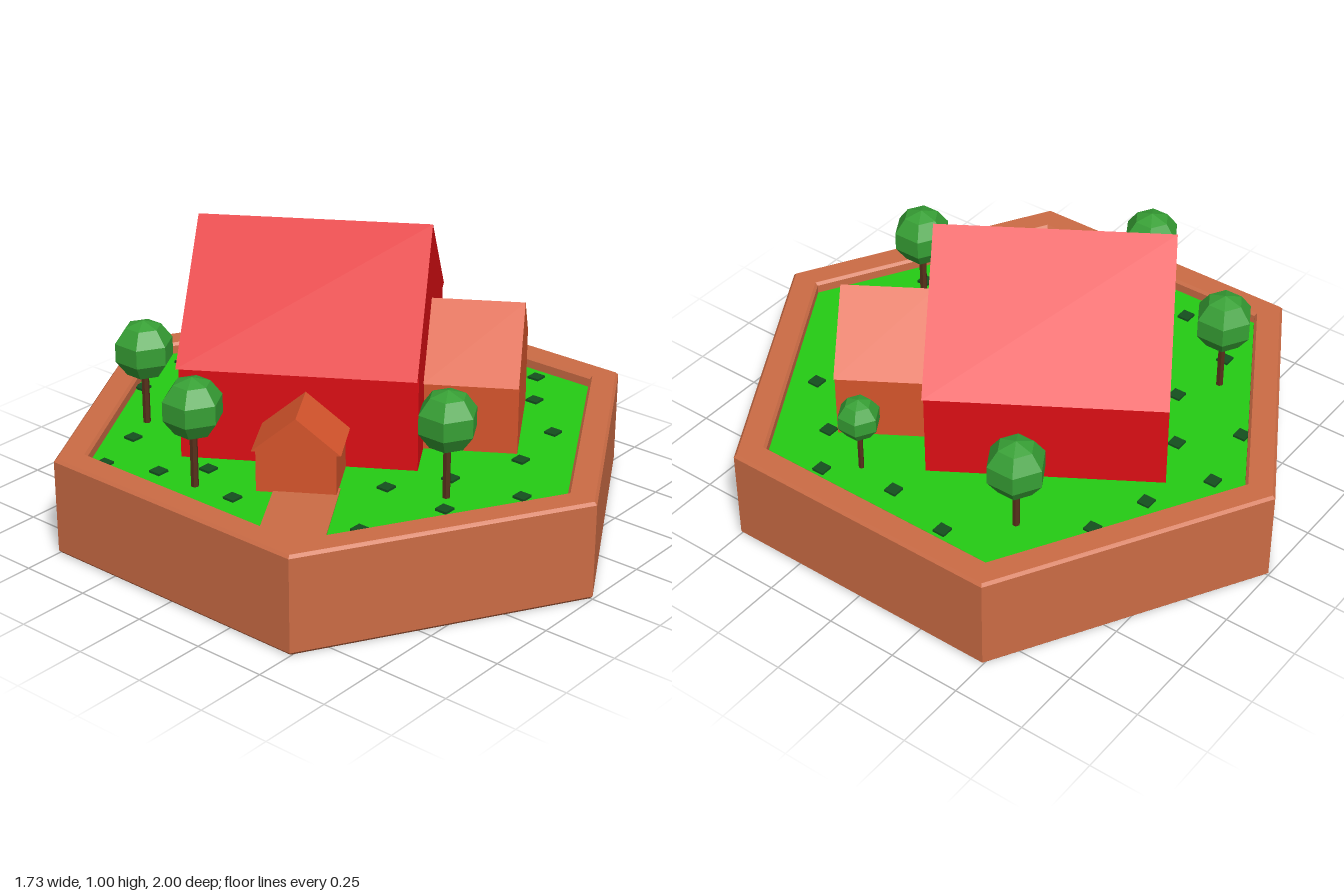
import * as THREE from 'three';

const GROUND = 0.3;

const paint = (color) => new THREE.MeshStandardMaterial({ color, flatShading: true });

export function createModel() {
  const clay = paint(0xcc6c45), grassGreen = paint(0x25cc14), red = paint(0xdd0e14);
  const orange = paint(0xd6552c), bark = paint(0x56301a), leaf = paint(0x37a035), tuftGreen = paint(0x14501e);

  const model = new THREE.Group();
  model.name = 'gardenHouse';

  function add(parent, name, geometry, material, x = 0, y = 0, z = 0) {
    const mesh = new THREE.Mesh(geometry, material);
    mesh.name = name;
    mesh.position.set(x, y, z);
    parent.add(mesh);
    return mesh;
  }

  // Hexagonal planter with a raised, slightly bevelled rim
  const rim = [[0, 0], [0.99, 0], [1, 0.01], [1, 0.33], [0.99, 0.34], [0.9, 0.34], [0.89, 0.33], [0.89, 0.28]];
  add(model, 'planter', new THREE.LatheGeometry(rim.map(([r, y]) => new THREE.Vector2(r, y)), 6), clay);
  add(model, 'lawn', new THREE.CylinderGeometry(0.89, 0.89, 0.04, 6), grassGreen, 0, GROUND - 0.02, 0);

  // House stands at an angle; its ridge runs along the group's z
  const house = new THREE.Group();
  house.name = 'house';
  house.position.set(-0.005, GROUND, -0.135);
  house.rotation.y = THREE.MathUtils.degToRad(32.2);
  model.add(house);

  // Box walls with a gabled prism roof, ridge along z, centred on its origin
  function wing(name, { wall, roof, length, eave, ridge, material }) {
    const group = new THREE.Group();
    group.name = name;
    add(group, name + 'Walls', new THREE.BoxGeometry(wall * 2, eave, length), material, 0, eave / 2, 0);
    const gable = new THREE.Shape([
      new THREE.Vector2(-roof, 0), new THREE.Vector2(roof, 0), new THREE.Vector2(0, ridge - eave),
    ]);
    const prism = new THREE.ExtrudeGeometry(gable, { depth: length, bevelEnabled: false });
    add(group, name + 'Roof', prism, material, 0, eave, -length / 2);
    house.add(group);
    return group;
  }

  wing('mainHouse', { wall: 0.38, roof: 0.427, length: 0.77, eave: 0.33, ridge: 0.7, material: red });

  const porch = wing('porch', { wall: 0.213, roof: 0.236, length: 0.308, eave: 0.24, ridge: 0.445, material: orange });
  porch.position.z = 0.538;

  const annex = wing('sideAnnex', { wall: 0.128, roof: 0.142, length: 0.208, eave: 0.138, ridge: 0.257, material: orange });
  annex.rotation.y = Math.PI / 2;
  annex.position.set(-0.485, 0, 0.025);

  // Path from the annex to the rim
  add(house, 'path', new THREE.BoxGeometry(0.4, 0.02, 0.208), clay, -0.74, -0.006, 0.055);

  // Trees: x, z, crown centre height, crown radius
  const trees = [
    [-0.415, -0.53, 0.565, 0.103], [0.55, -0.395, 0.535, 0.103], [-0.655, -0.08, 0.573, 0.103],
    [0.63, 0.165, 0.505, 0.074], [-0.207, 0.575, 0.565, 0.103],
  ];
  for (const [x, z, y, r] of trees) {
    const tree = new THREE.Group();
    tree.name = 'tree';
    tree.position.set(x, GROUND, z);
    const h = y - GROUND;
    add(tree, 'trunk', new THREE.CylinderGeometry(r * 0.125, r * 0.125, h, 6), bark, 0, h / 2, 0);
    add(tree, 'crown', new THREE.SphereGeometry(r, 6, 5), leaf, 0, h, 0).rotation.y = Math.PI / 6;
    model.add(tree);
  }

  // Scattered grass tufts
  const tufts = [
    [-0.23, -0.735], [0.017, -0.78], [0.225, -0.665], [0.427, -0.6], [-0.07, -0.585], [-0.535, -0.475],
    [-0.277, -0.45], [-0.73, -0.41], [-0.66, -0.235], [-0.545, -0.125], [-0.643, 0.07], [0.712, -0.23],
    [0.657, 0.01], [0.715, 0.26], [0.555, 0.367], [-0.28, 0.393], [-0.55, 0.51], [-0.1, 0.51],
    [0.15, 0.603], [0.387, 0.563], [-0.057, 0.758], [-0.28, 0.625],
  ];
  const tuft = new THREE.BoxGeometry(0.043, 0.012, 0.043);
  for (const [x, z] of tufts) add(model, 'grassTuft', tuft, tuftGreen, x, GROUND + 0.002, z);

  return model;
}
